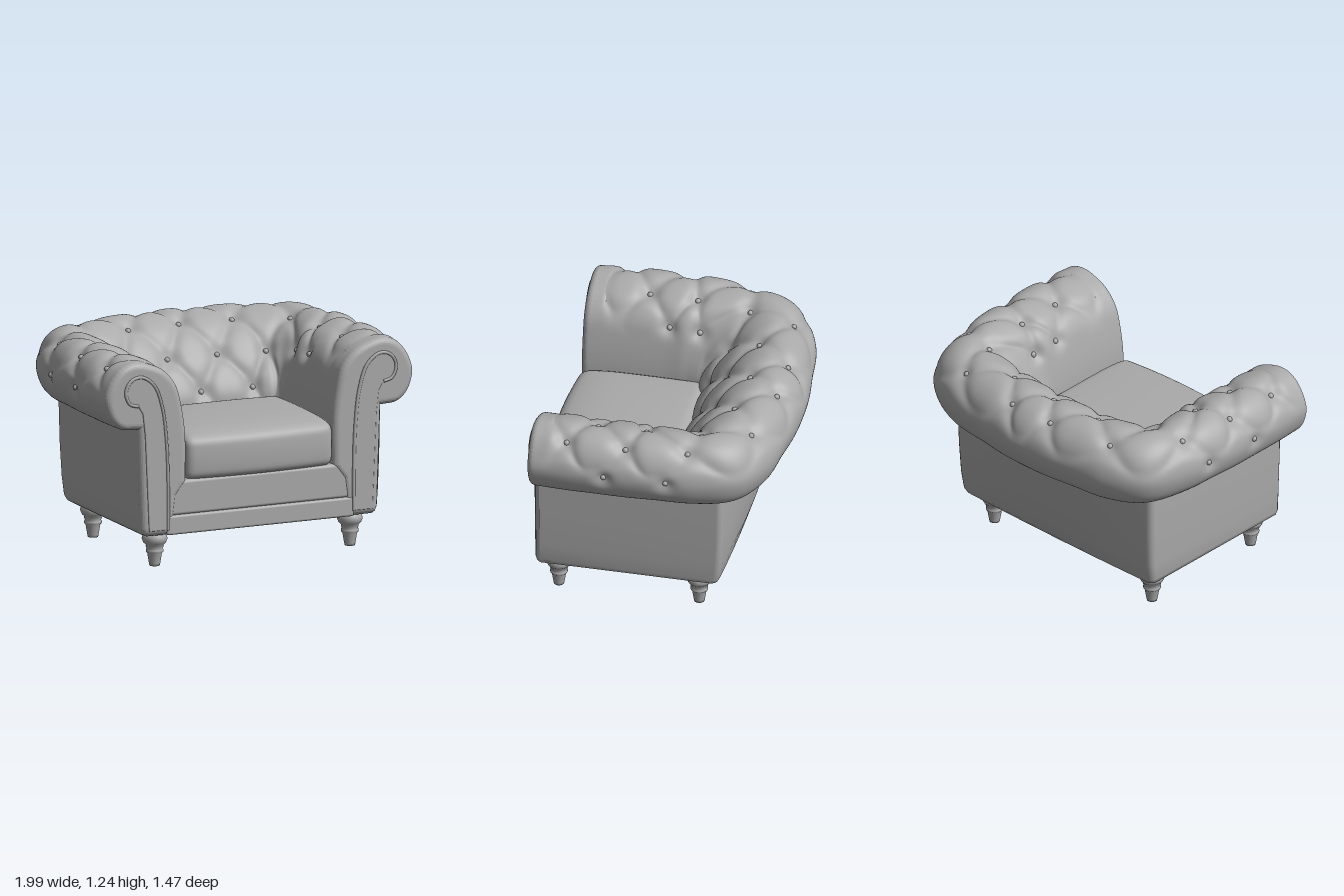
import * as THREE from 'three';
import { mergeVertices } from 'three/addons/utils/BufferGeometryUtils.js';
import { RoundedBoxGeometry } from 'three/addons/geometries/RoundedBoxGeometry.js';

const V = (x, y, z = 0) => new THREE.Vector3(x, y, z);
const smooth = THREE.MathUtils.smoothstep;
const lerp = THREE.MathUtils.lerp;

// Smooth surface from a function of grid indices
function grid(nu, nv, fn) {
  const pos = [], idx = [];
  for (let i = 0; i <= nu; i++) for (let j = 0; j <= nv; j++) {
    pos.push(...fn(i, j).toArray());
    if (i < nu && j < nv) {
      const a = i * (nv + 1) + j, b = a + nv + 1;
      idx.push(a, b, a + 1, b, b + 1, a + 1);
    }
  }
  const g = new THREE.BufferGeometry();
  g.setAttribute('position', new THREE.Float32BufferAttribute(pos, 3));
  g.setIndex(idx);
  g.computeVertexNormals();
  return g;
}

// Plan of the rolled arms and back: stations from the middle of the back to the arm front
const innerHalf = [[0, -0.05], [0.16, -0.05], [0.32, -0.04], [0.4, -0.025], [0.44, 0], [0.46, 0.06],
  [0.465, 0.12], [0.47, 0.2], [0.47, 0.34], [0.47, 0.5], [0.47, 0.66]];
const outerHalf = [[0, -0.735], [0.15, -0.73], [0.34, -0.705], [0.61, -0.665], [0.84, -0.535], [0.95, -0.29],
  [0.985, -0.05], [0.995, 0.12], [0.995, 0.33], [0.995, 0.48], [0.985, 0.66]];
const mirrored = half => new THREE.CatmullRomCurve3([
  ...half.slice(1).reverse().map(([x, z]) => V(-x, 0, z)), ...half.map(([x, z]) => V(x, 0, z))]);
const inner = mirrored(innerHalf), outer = mirrored(outerHalf);

// Roll profiles: (share of the way from inner to outer line, height)
const profile = pts => new THREE.CatmullRomCurve3(pts.map(p => V(...p)));
const armProfile = profile([[0, 0.5], [0, 0.78], [0.05, 0.96], [0.11, 1.07], [0.24, 1.16], [0.42, 1.212],
  [0.64, 1.235], [0.83, 1.195], [0.96, 1.1], [1, 1.02], [0.95, 0.92], [0.82, 0.85], [0.6, 0.835]]);
const backProfile = profile([[0, 0.5], [0, 0.78], [0.1, 0.92], [0.22, 1.03], [0.36, 1.13], [0.52, 1.2],
  [0.68, 1.225], [0.84, 1.19], [0.96, 1.1], [1, 1], [0.95, 0.88], [0.83, 0.81], [0.55, 0.8]]);

function rollBase(k, t) {
  const s = THREE.MathUtils.clamp((k + 10) / 20, 0, 1), q = THREE.MathUtils.clamp(t / 12, 0, 1);
  const c = armProfile.getPoint(q).lerp(backProfile.getPoint(q), 1 - smooth(Math.abs(k), 3.2, 6.2));
  const p = inner.getPoint(s).lerp(outer.getPoint(s), c.x);
  p.y = c.y;
  return p;
}

// Tufting: buttons sit at rows 1..5 of a diamond lattice
const rowT = [0, 1.4, 3, 4.9, 7, 9, 12];
const buttonRows = { 1: [0, 2], 2: [1, 3, 5, 7], 3: [0, 2, 4, 6, 8], 4: [1, 3, 5, 7, 9], 5: [5.7, 7.6] };
const buttons = [];
for (const r in buttonRows) for (const k of buttonRows[r])
  for (const side of k ? [-1, 1] : [1]) buttons.push([k * side, +r]);
const buttonPoints = buttons.map(([k, r]) => rollBase(k, rowT[r]));

function roll(k, t) {
  const p = rollBase(k, t), e = 0.03;
  const n = rollBase(k + e, t).sub(rollBase(k - e, t))
    .cross(rollBase(k, t + e).sub(rollBase(k, t - e))).normalize();
  let i = 0;
  while (i < 5 && t > rowT[i + 1]) i++;
  const r = i + (t - rowT[i]) / (rowT[i + 1] - rowT[i]), ak = Math.abs(k);
  const fade = smooth(r, 0.3, 0.9) * (1 - smooth(r, 4.2, 5)) * (1 - smooth(ak, 9.2, 9.9))
    * lerp(1, smooth(r, 1.5, 2.8), smooth(ak, 3.5, 4.5));
  // Soft pillows between the creases, with a dimple at each button
  const w = (Math.sin(Math.PI * (k + r - 1) / 2) * Math.sin(Math.PI * (k - r + 1) / 2)) ** 2;
  let d = fade * (0.027 * w / (w + 0.15) - 0.012);
  for (const b of buttonPoints) d -= 0.026 * Math.exp(-p.distanceToSquared(b) / 0.0024);
  return p.addScaledVector(n, d);
}

// Outer walls, top to bottom: height, half width, back line at the corner and at the middle
const wallLevels = [[0.95, 0.78, -0.425, -0.51], [0.8, 0.778, -0.42, -0.5], [0.55, 0.773, -0.415, -0.48],
  [0.35, 0.765, -0.405, -0.445], [0.24, 0.757, -0.39, -0.41], [0.21, 0.745, -0.375, -0.385],
  [0.195, 0.72, -0.355, -0.36]];
function wallPoint(i, j) {
  const [y, w, zc, zb] = wallLevels[j], side = i < 11 ? -1 : 1, m = side < 0 ? i : 22 - i, r = 0.04;
  if (m === 0) return V(side * w, y, 0.67);
  if (m === 1) return V(side * w, y, 0.1);
  if (m > 6) {
    const f = (11 - m) / 5;
    return V(side * f * (w - r), y, lerp(zb, zc, f * f));
  }
  const a = (m - 2) / 4 * Math.PI / 2;
  return V(side * (w - r + r * Math.cos(a)), y, zc + r - r * Math.sin(a));
}

// Seat cushion: rounded box with a crowned top that falls toward a bowed front
function cushionGeometry() {
  const h = V(0.47, 0.135, 0.37), r = 0.045;
  let g = new THREE.BoxGeometry(h.x * 2, h.y * 2, h.z * 2, 48, 16, 40);
  g.deleteAttribute('uv');
  g.deleteAttribute('normal');
  g = mergeVertices(g);
  const a = g.attributes.position, p = V(0, 0), inset = h.clone().subScalar(r);
  for (let i = 0; i < a.count; i++) {
    p.fromBufferAttribute(a, i);
    const c = p.clone().clamp(inset.clone().negate(), inset);
    p.sub(c).normalize().multiplyScalar(r).add(c);
    const bx = 1 - (p.x / h.x) ** 2, bz = 1 - (p.z / h.z) ** 2;
    if (p.y > 0) {
      p.y += 0.025 * Math.sqrt(Math.max(0, bx * bz)) * p.y / h.y;
      if (p.z > 0) p.y -= 0.025 * (p.z / h.z) ** 4 * p.y / h.y;
    }
    if (p.z > 0) p.z += (0.032 * bx + 0.012 * (1 - (p.y / h.y) ** 2)) * p.z / h.z;
    a.setXYZ(i, p.x, p.y, p.z);
  }
  g.computeVertexNormals();
  return g;
}

export function createModel() {
  const chair = new THREE.Group();
  chair.name = 'tuftedArmchair';
  const leather = new THREE.MeshStandardMaterial({ color: 0xaaaaaa, side: THREE.DoubleSide });
  leather.name = 'grey leather';
  const add = (name, geometry, x = 0, y = 0, z = 0, parent = chair) => {
    const m = new THREE.Mesh(geometry, leather);
    m.name = name;
    m.position.set(x, y, z);
    parent.add(m);
    return m;
  };

  // Upholstery and body
  add('rolledArmsAndBack', grid(260, 96, (i, j) => roll(i / 13 - 10, j / 8)));
  add('outerWalls', grid(22, wallLevels.length - 1, wallPoint));
  add('baseFrame', new RoundedBoxGeometry(1.46, 0.305, 1.04, 3, 0.02), 0, 0.3475, 0.16);
  add('frontPanel', new RoundedBoxGeometry(1.2, 0.205, 0.1, 4, 0.02), 0, 0.41, 0.643);
  add('frontRail', new RoundedBoxGeometry(1.2, 0.115, 0.1, 4, 0.015), 0, 0.253, 0.653);
  add('seatCushion', cushionGeometry(), 0, 0.64, 0.32);

  // Scrolled arm fronts, built for the left and mirrored
  const outline = [];
  for (let i = 0; i <= 48; i++) {
    const p = rollBase(10, i / 4);
    outline.push(new THREE.Vector2(p.x, p.y));
  }
  for (const p of [[0.777, 0.8], [0.757, 0.24], [0.745, 0.21], [0.72, 0.197], [0.56, 0.197], [0.53, 0.42]])
    outline.push(new THREE.Vector2(...p));
  const frontGeometry = new THREE.ExtrudeGeometry(new THREE.Shape(outline), {
    depth: 0.06, bevelThickness: 0.04, bevelSize: 0.04, bevelOffset: -0.04, bevelSegments: 6 });
  const scroll = new THREE.CatmullRomCurve3([[0.595, 0.23], [0.595, 0.5], [0.605, 0.75], [0.63, 0.95],
    [0.68, 1.09], [0.76, 1.15], [0.83, 1.135], [0.865, 1.07], [0.84, 1.0], [0.785, 0.98]].map(([x, y]) => V(x, y)));
  const strip = new THREE.Shape([...scroll.getPoints(60).map(p => new THREE.Vector2(p.x, p.y)),
    new THREE.Vector2(0.755, 0.93), new THREE.Vector2(0.74, 0.8), new THREE.Vector2(0.715, 0.23)]);
  const stripGeometry = new THREE.ExtrudeGeometry(strip, {
    depth: 0.01, bevelThickness: 0.006, bevelSize: 0.006, bevelOffset: -0.006, bevelSegments: 3 });
  const pipingGeometry = new THREE.TubeGeometry(scroll, 80, 0.01, 8);
  for (const side of [1, -1]) {
    const front = new THREE.Group();
    front.name = side > 0 ? 'leftArmFront' : 'rightArmFront';
    front.scale.x = side;
    chair.add(front);
    add('armFrontPanel', frontGeometry, 0, 0, 0.6, front);
    add('scrollStrip', stripGeometry, 0, 0, 0.69, front);
    add('scrollPiping', pipingGeometry, 0, 0, 0.704, front);
  }

  // Buttons
  const buttonGeometry = new THREE.SphereGeometry(0.017, 12, 8);
  for (const [k, r] of buttons) {
    const p = roll(k, rowT[r]);
    add('button', buttonGeometry, p.x, p.y, p.z);
  }

  // Turned legs
  const legGeometry = new THREE.LatheGeometry([[0, 0], [0.03, 0], [0.033, 0.015], [0.043, 0.075], [0.051, 0.083],
    [0.051, 0.095], [0.045, 0.102], [0.052, 0.112], [0.05, 0.122], [0.066, 0.138], [0.075, 0.16], [0.07, 0.182],
    [0.055, 0.197], [0.055, 0.215]].map(p => new THREE.Vector2(...p)), 28);
  for (const x of [-0.625, 0.625]) for (const z of [0.585, -0.247])
    add(z > 0 ? 'frontLeg' : 'backLeg', legGeometry, x, 0, z);

  return chair;
}
